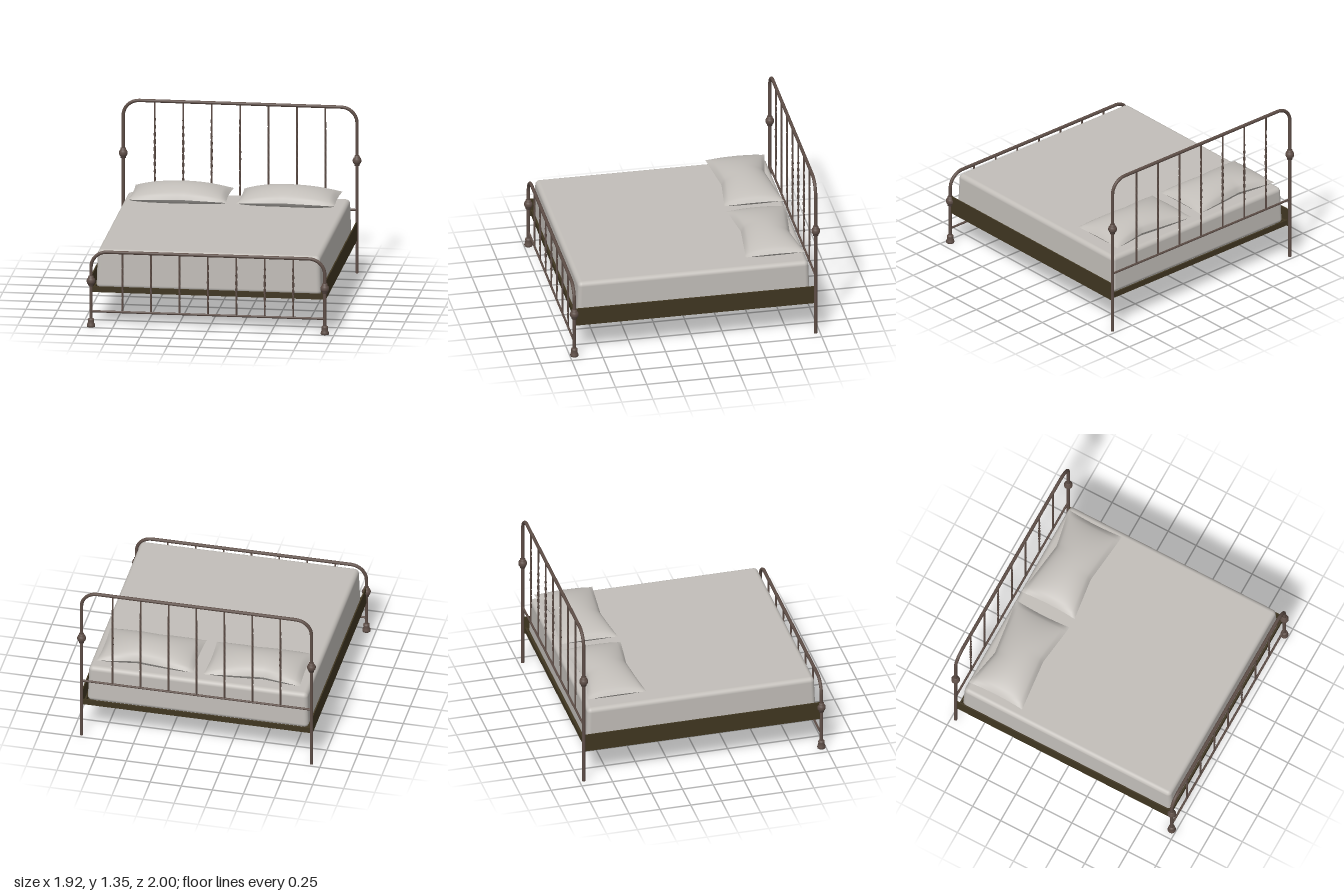
import * as THREE from 'three';
import { RoundedBoxGeometry } from 'three/addons/geometries/RoundedBoxGeometry.js';

const iron = new THREE.MeshStandardMaterial({ name: 'brown iron', color: 0x5e4e47 });
const frameMat = new THREE.MeshStandardMaterial({ name: 'dark olive rail', color: 0x403621 });
const linen = new THREE.MeshStandardMaterial({ name: 'grey linen', color: 0xc2beb9 });

const POST_X = 0.925, POST_Z = 0.965, TUBE_R = 0.0135;

function add(parent, name, geometry, material, x = 0, y = 0, z = 0) {
  const mesh = new THREE.Mesh(geometry, material);
  mesh.name = name;
  mesh.position.set(x, y, z);
  parent.add(mesh);
  return mesh;
}

function lathe(points) {
  return new THREE.LatheGeometry(points.map(([r, y]) => new THREE.Vector2(r, y)), 20);
}

// Posts and top rail as one bent tube
function hoopGeometry(top) {
  const r = 0.125, y = top - TUBE_R, k = POST_X - r;
  const v = (px, py) => new THREE.Vector3(px, py, 0);
  const path = new THREE.CurvePath();
  const pts = [v(-POST_X, 0)];
  for (let i = 0; i <= 10; i++) {
    const a = Math.PI - (i / 10) * Math.PI / 2;
    pts.push(v(-k + r * Math.cos(a), y - r + r * Math.sin(a)));
  }
  for (let i = 0; i <= 10; i++) {
    const a = Math.PI / 2 - (i / 10) * Math.PI / 2;
    pts.push(v(k + r * Math.cos(a), y - r + r * Math.sin(a)));
  }
  pts.push(v(POST_X, 0));
  for (let i = 1; i < pts.length; i++) path.add(new THREE.LineCurve3(pts[i - 1], pts[i]));
  return new THREE.TubeGeometry(path, 240, TUBE_R, 12, false);
}

// Square bar twisted along its middle part
function spindleGeometry(length) {
  const g = new THREE.BoxGeometry(0.011, length, 0.011, 1, 60, 1);
  const p = g.attributes.position;
  for (let i = 0; i < p.count; i++) {
    const t = p.getY(i) / length;
    const a = THREE.MathUtils.clamp(t, -0.35, 0.35) * length * 26;
    const s = 1 + 0.2 * Math.max(0, 1 - Math.abs(t) / 0.35);
    const x = p.getX(i) * s, z = p.getZ(i) * s;
    p.setX(i, x * Math.cos(a) - z * Math.sin(a));
    p.setZ(i, x * Math.sin(a) + z * Math.cos(a));
  }
  g.computeVertexNormals();
  return g;
}

const collar = lathe([[0.013, -0.042], [0.021, -0.04], [0.022, -0.026], [0.029, -0.02], [0.034, -0.008],
  [0.034, 0.008], [0.029, 0.02], [0.022, 0.026], [0.021, 0.04], [0.013, 0.042]]);
const foot = lathe([[0, 0], [0.031, 0], [0.033, 0.008], [0.031, 0.02], [0.026, 0.028], [0.024, 0.048],
  [0.026, 0.054], [0.024, 0.064], [0.013, 0.07]]);

// Head or foot end: hoop, collars, lower bar, spindles
function bedEnd(name, z, top, collarY, barY, hasFeet) {
  const end = new THREE.Group();
  end.name = name;
  end.position.z = z;
  add(end, 'hoop', hoopGeometry(top), iron);
  for (const x of [-POST_X, POST_X]) {
    add(end, 'collar', collar, iron, x, collarY);
    if (hasFeet) add(end, 'foot', foot, iron, x);
    else add(end, 'postCap', new THREE.CircleGeometry(TUBE_R, 12), iron, x, 0.001).rotation.x = Math.PI / 2;
  }
  add(end, 'lowerBar', new THREE.CylinderGeometry(0.009, 0.009, POST_X * 2, 10), iron, 0, barY).rotation.z = Math.PI / 2;
  const length = top - TUBE_R - barY;
  const spindle = spindleGeometry(length);
  for (let i = -3; i <= 3; i++) add(end, 'spindle', spindle, iron, i * 0.225, barY + length / 2);
  return end;
}

// Cushion with pinched seams; side = -1 or 1 mirrors the creases
function pillow(side) {
  const group = new THREE.Group();
  group.name = side > 0 ? 'leftPillow' : 'rightPillow';
  group.position.set(side * 0.43, 0.672, -0.665);
  for (const up of [1, -1]) {
    const g = new THREE.PlaneGeometry(2, 2, 32, 24);
    g.rotateX(-up * Math.PI / 2);
    const p = g.attributes.position;
    for (let i = 0; i < p.count; i++) {
      const u = p.getX(i), v = p.getZ(i), w = u * side;
      const d = w - (v < 0 ? 0.2 : -0.1);
      const reach = d > 0 ? 1 - d / (v < 0 ? 0.8 : 1.1) : 1 + d / (v < 0 ? 1.2 : 0.9);
      const inset = Math.max(0, reach) * (v < 0 ? 0.06 : 0.045);
      const full = Math.max(0, (1 - u * u) * (1 - v * v));
      const height = up > 0 ? 0.098 * Math.pow(full, 0.55) : -0.056 * Math.pow(full, 0.4);
      p.setXYZ(i, u * (0.39 - 0.012 * (1 - v * v)), height, v * (0.237 - inset));
    }
    g.computeVertexNormals();
    add(group, up > 0 ? 'pillowTop' : 'pillowUnderside', g, linen);
  }
  return group;
}

export function createModel() {
  const bed = new THREE.Group();
  bed.name = 'bed';

  bed.add(bedEnd('headboard', -POST_Z, 1.353, 0.91, 0.51, false));
  bed.add(bedEnd('footboard', POST_Z, 0.62, 0.37, 0.125, true));

  // Deep side rails with a lower inner frame
  for (const s of [-1, 1]) {
    add(bed, 'sideRail', new THREE.BoxGeometry(0.01, 0.148, 1.92), frameMat, s * 0.922, 0.341, 0);
    add(bed, 'innerRail', new THREE.BoxGeometry(0.014, 0.045, 1.89), frameMat, s * 0.9, 0.298, 0);
    add(bed, 'innerLedge', new THREE.BoxGeometry(0.045, 0.008, 1.88), frameMat, s * 0.875, 0.279, 0);
    add(bed, 'endRail', new THREE.BoxGeometry(1.834, 0.045, 0.012), frameMat, 0, 0.298, s * 0.941);
    add(bed, 'endLedge', new THREE.BoxGeometry(1.8, 0.008, 0.045), frameMat, 0, 0.279, s * 0.915);
  }

  // Cross slats
  for (const z of [-0.54, -0.02, 0.5]) {
    add(bed, 'slatWeb', new THREE.BoxGeometry(1.79, 0.04, 0.012), frameMat, 0, 0.297, z - 0.03);
    add(bed, 'slat', new THREE.BoxGeometry(1.79, 0.01, 0.07), frameMat, 0, 0.28, z);
  }

  // Mattress, slightly narrower towards the top
  const mattress = new RoundedBoxGeometry(1.78, 0.312, 1.865, 5, 0.035);
  const p = mattress.attributes.position;
  for (let i = 0; i < p.count; i++) {
    const k = 1 - 0.012 * (p.getY(i) / 0.312 + 0.5);
    p.setX(i, p.getX(i) * k);
    p.setZ(i, p.getZ(i) * k);
  }
  add(bed, 'mattress', mattress, linen, 0, 0.458, 0.002);

  bed.add(pillow(-1), pillow(1));
  return bed;
}
